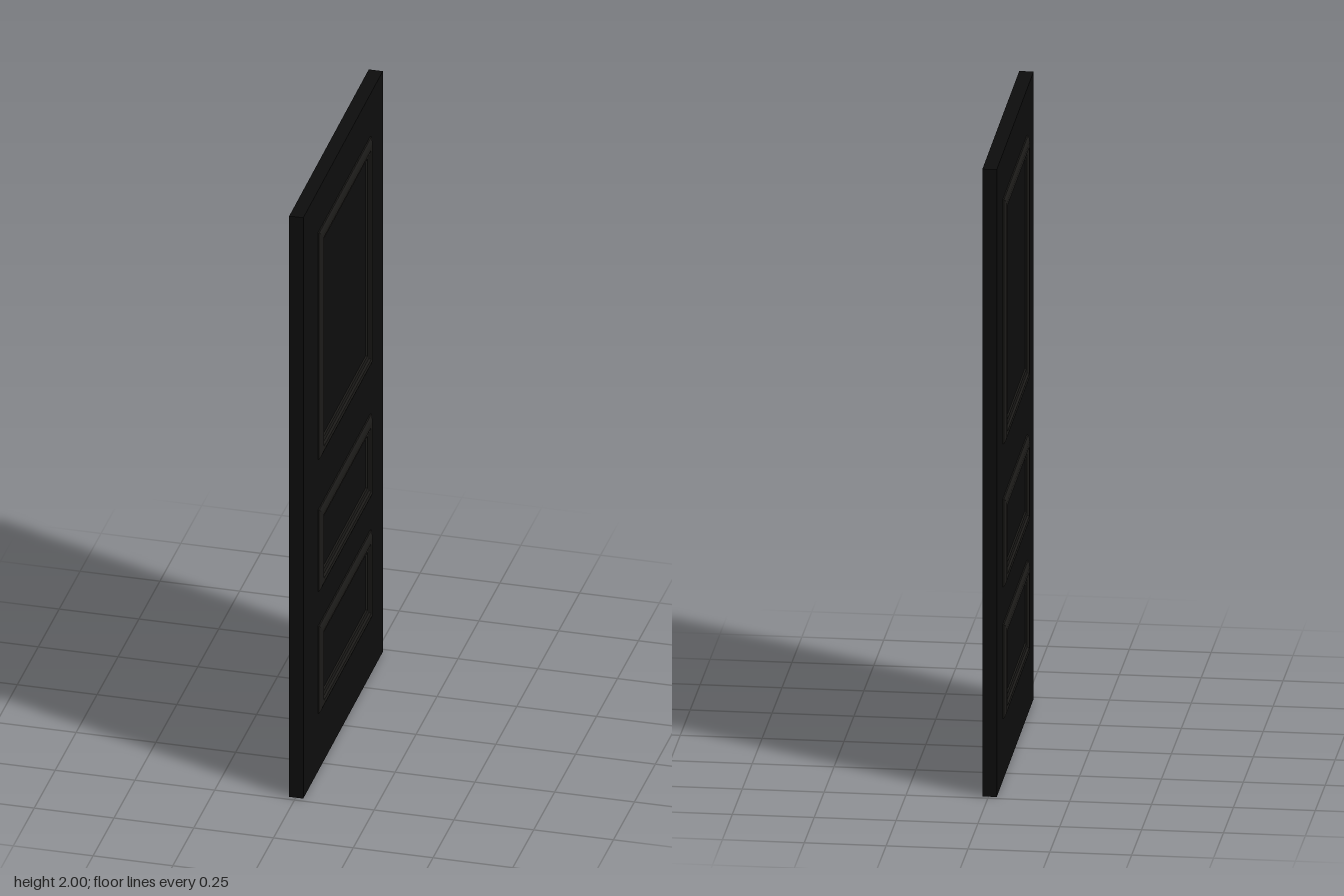
import * as THREE from 'three';

const slabMaterial = new THREE.MeshStandardMaterial({ color: 0x0d0d0d });
const mouldingMaterial = new THREE.MeshStandardMaterial({ color: 0x1b1a18 });
const HALF = 0.022; // half thickness of the slab

// moulding cross-section: [inset from the outer edge, height above the slab]
const PROFILE = [[0, -0.002], [0, 0.004], [0.006, 0.008], [0.016, 0.011], [0.03, 0.011],
  [0.035, 0.005], [0.044, 0.004], [0.05, 0.004], [0.055, -0.001]];

// mitred rectangular frame facing +z, made of nested rectangular rings
function frameGeometry(w, h) {
  const rings = PROFILE.map(([d, z]) => {
    const x = w / 2 - d, y = h / 2 - d;
    return [[-x, -y, z], [x, -y, z], [x, y, z], [-x, y, z]];
  });
  const positions = [];
  for (let k = 0; k < rings.length - 1; k++) {
    for (let i = 0; i < 4; i++) {
      const j = (i + 1) % 4;
      const a = rings[k][i], b = rings[k][j], c = rings[k + 1][j], d = rings[k + 1][i];
      positions.push(...a, ...b, ...c, ...a, ...c, ...d);
    }
  }
  const geometry = new THREE.BufferGeometry();
  geometry.setAttribute('position', new THREE.Float32BufferAttribute(positions, 3));
  geometry.computeVertexNormals();
  return geometry;
}

export function createModel() {
  const group = new THREE.Group();
  group.name = 'panelDoor';
  const door = new THREE.Group();
  door.name = 'door';
  group.add(door);

  // slab
  const slab = new THREE.Mesh(new THREE.BoxGeometry(HALF * 2, 2, 0.968), slabMaterial);
  slab.name = 'slab';
  slab.position.y = 1;
  door.add(slab);

  // three moulded panels, repeated on both faces
  const panels = [['upper', 1.075, 1.855], ['middle', 0.62, 0.9], ['lower', 0.2, 0.5]];
  for (const [name, y0, y1] of panels) {
    const geometry = frameGeometry(0.635, y1 - y0);
    for (const side of [1, -1]) {
      const moulding = new THREE.Mesh(geometry, mouldingMaterial);
      moulding.name = name + (side > 0 ? 'MouldingLeft' : 'MouldingRight');
      moulding.position.set(side * HALF, (y0 + y1) / 2, -0.0125);
      moulding.rotation.y = side * Math.PI / 2;
      door.add(moulding);
    }
  }

  // the door hangs very slightly turned
  door.rotation.y = 0.005;
  door.position.x = -0.001;
  return group;
}
